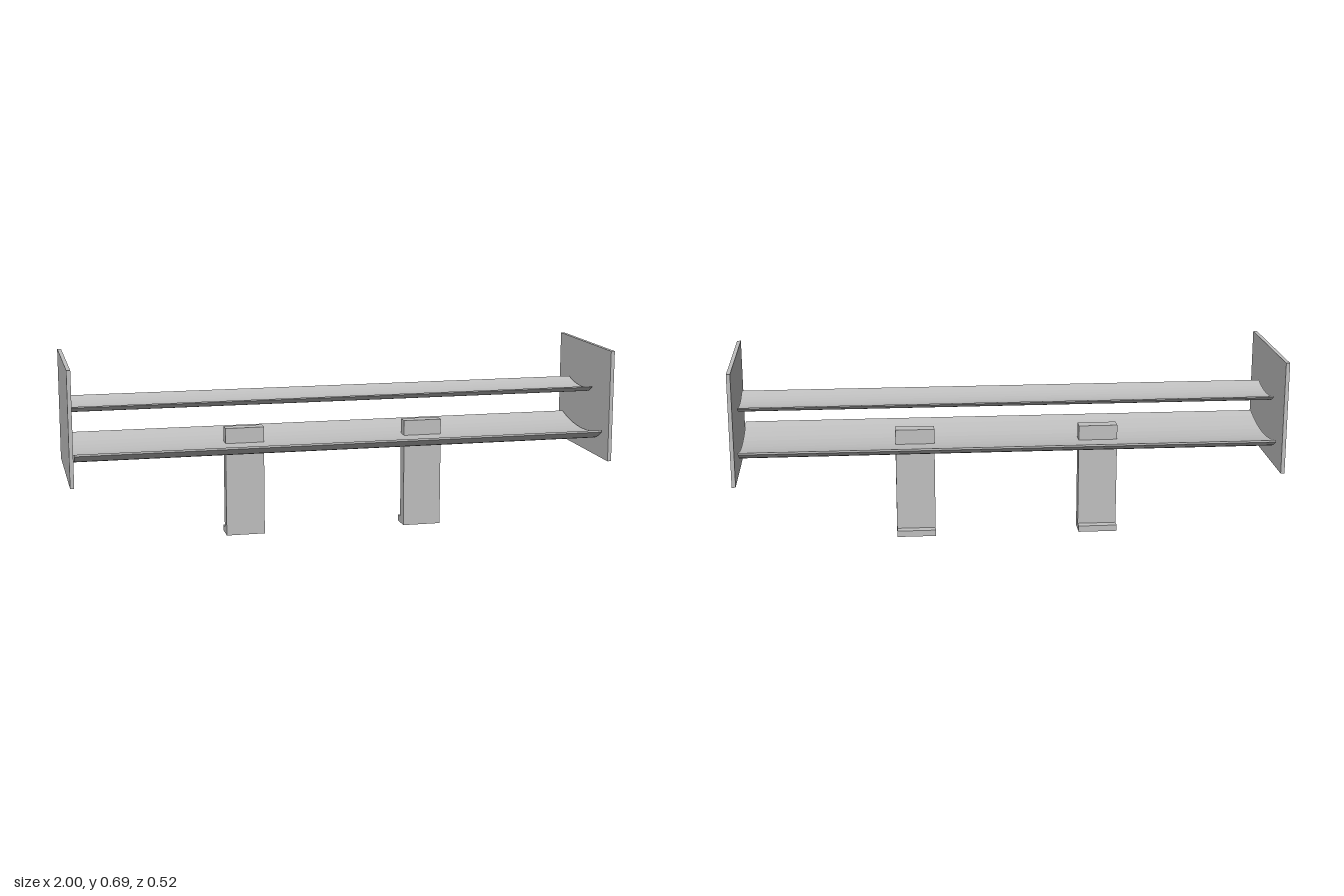
import * as THREE from 'three';

export function createModel() {
  const model = new THREE.Group();
  model.name = 'rearWing';
  const grey = new THREE.MeshStandardMaterial({ color: 0xc0c0c0 });
  grey.name = 'plain grey';

  const add = (name, geometry, x, y, z) => {
    const mesh = new THREE.Mesh(geometry, grey);
    mesh.name = name;
    mesh.position.set(x, y, z);
    model.add(mesh);
  };

  // Wing blade: dished on top, two shallow lobes underneath, extruded along x
  const span = 1.956;
  const blade = (name, halfChord, height, y, z) => {
    const s = new THREE.Shape();
    const c = halfChord, h = height;
    s.moveTo(-c, h);
    s.lineTo(-c, h * 0.85);
    s.quadraticCurveTo(-c * 0.55, -h * 0.45, 0, h * 0.25);
    s.quadraticCurveTo(c * 0.55, -h * 0.45, c, h * 0.85);
    s.lineTo(c, h);
    s.quadraticCurveTo(0, -h * 0.2, -c, h);
    const g = new THREE.ExtrudeGeometry(s, { depth: span, bevelEnabled: false, curveSegments: 10 });
    g.translate(0, 0, -span / 2).rotateY(Math.PI / 2);
    add(name, g, 0, y, z);
  };
  blade('lowerBlade', 0.205, 0.05, 0.33, 0.006);
  blade('upperBlade', 0.12, 0.03, 0.5, -0.016);

  // L-shaped strut outline: upright post with a foot pointing backwards
  const strut = new THREE.Shape([
    [0, 0], [0.078, 0], [0.078, 0.023], [0.047, 0.023], [0.047, 0.407], [0, 0.407],
  ].map(([a, b]) => new THREE.Vector2(a, b)));

  for (const side of [-1, 1]) {
    const label = side > 0 ? 'left' : 'right';
    add(label + 'EndPlate', new THREE.BoxGeometry(0.014, 0.415, 0.516), side * 0.993, 0.4775, 0);
    const g = new THREE.ExtrudeGeometry(strut, { depth: 0.144, bevelEnabled: false });
    g.translate(0, 0, -0.072).rotateY(Math.PI / 2);
    add(label + 'Strut', g, side * 0.341, 0, 0);
  }
  return model;
}
